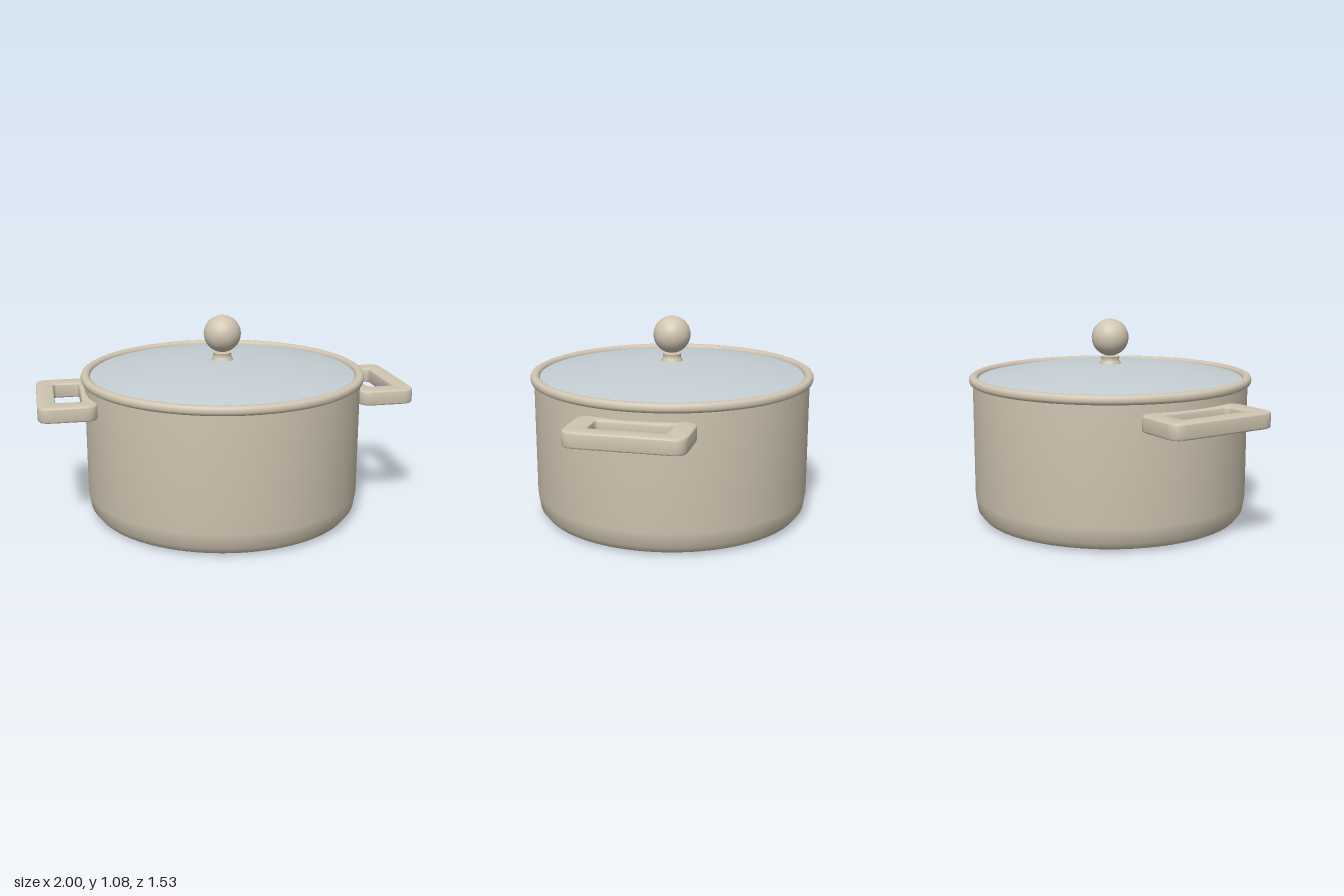
import * as THREE from 'three';
import { toCreasedNormals } from 'three/addons/utils/BufferGeometryUtils.js';

const enamel = new THREE.MeshStandardMaterial({ color: 0xd0c5b1 });
enamel.name = 'warm enamel';
const glass = new THREE.MeshStandardMaterial({ color: 0xc4ced2 });
glass.name = 'pale glass';

function addMesh(parent, name, geometry, material) {
  const mesh = new THREE.Mesh(geometry, material);
  mesh.name = name;
  parent.add(mesh);
  return mesh;
}

// Turned part from [radius, height] pairs, outer side listed bottom to top
function turned(points, segments = 96, crease = 0.75) {
  const profile = points.map(([r, y]) => new THREE.Vector2(r, y));
  return toCreasedNormals(new THREE.LatheGeometry(profile, segments), crease);
}

// Traces a rounded rectangle into a Shape or Path
function roundedRect(path, x0, y0, x1, y1, r) {
  path.moveTo(x0 + r, y0);
  path.lineTo(x1 - r, y0);
  path.quadraticCurveTo(x1, y0, x1, y0 + r);
  path.lineTo(x1, y1 - r);
  path.quadraticCurveTo(x1, y1, x1 - r, y1);
  path.lineTo(x0 + r, y1);
  path.quadraticCurveTo(x0, y1, x0, y1 - r);
  path.lineTo(x0, y0 + r);
  path.quadraticCurveTo(x0, y0, x0 + r, y0);
  return path;
}

// Flat loop handle on the +x side
function handleGeometry() {
  const shape = roundedRect(new THREE.Shape(), 0.695, -0.3, 1, 0.3, 0.07);
  shape.holes.push(roundedRect(new THREE.Path(), 0.77, -0.19, 0.907, 0.19, 0.025));
  const geometry = new THREE.ExtrudeGeometry(shape, {
    depth: 0.06, bevelThickness: 0.01, bevelSize: 0.01, bevelOffset: -0.01,
    bevelSegments: 3, curveSegments: 6,
  });
  geometry.rotateX(-Math.PI / 2).translate(0, 0.625, 0);
  return toCreasedNormals(geometry, 0.6);
}

export function createModel() {
  const pot = new THREE.Group();
  pot.name = 'cookingPot';

  // Hollow body with a softened base edge
  addMesh(pot, 'body', turned([
    [0, 0], [0.66, 0], [0.705, 0.016], [0.733, 0.052], [0.745, 0.13],
    [0.745, 0.75], [0.715, 0.75], [0.715, 0.1], [0.67, 0.03], [0, 0.03],
  ]), enamel);

  // Rounded rim ring
  addMesh(pot, 'rim', turned([
    [0.715, 0.745], [0.725, 0.739], [0.75, 0.739], [0.76, 0.745], [0.764, 0.756],
    [0.764, 0.77], [0.759, 0.78], [0.748, 0.786], [0.732, 0.786], [0.721, 0.78],
    [0.715, 0.77], [0.715, 0.745],
  ]), enamel);

  // Shallow domed lid with a flat underside
  addMesh(pot, 'lid', turned([
    [0, 0.755], [0.722, 0.755], [0.722, 0.765], [0.61, 0.787], [0.43, 0.817],
    [0.22, 0.835], [0, 0.839],
  ]), glass);

  // Waisted stem and ball knob
  addMesh(pot, 'knobStem', turned([
    [0, 0.825], [0.062, 0.825], [0.06, 0.838], [0.051, 0.852], [0.048, 0.864],
    [0.052, 0.877], [0, 0.877],
  ], 40), enamel);
  addMesh(pot, 'knob', new THREE.SphereGeometry(0.1, 40, 28), enamel).position.y = 0.98;

  // Matching side handles
  const geometry = handleGeometry();
  addMesh(pot, 'leftHandle', geometry, enamel);
  addMesh(pot, 'rightHandle', geometry, enamel).rotation.y = Math.PI;

  return pot;
}
